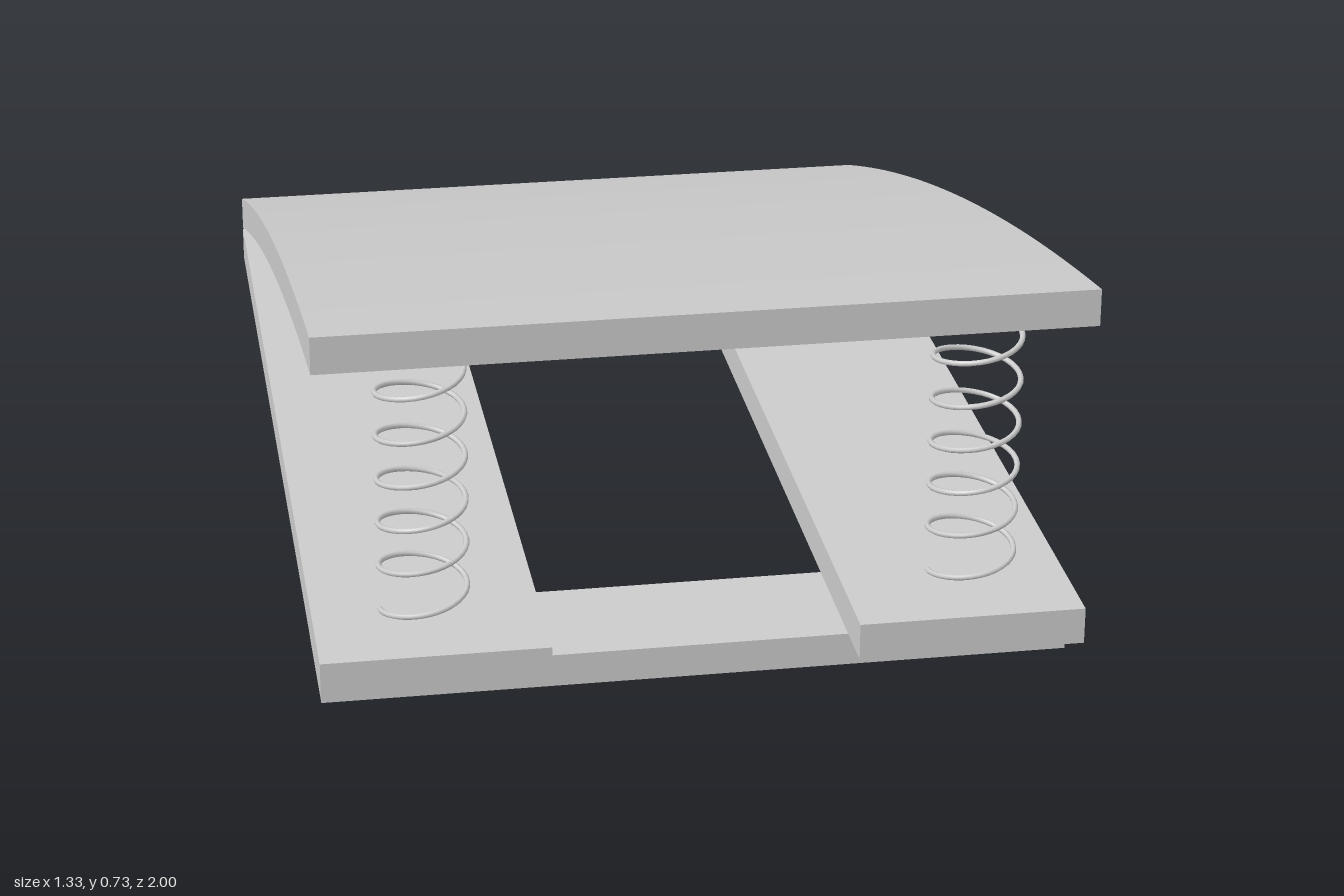
import * as THREE from 'three';

const material = new THREE.MeshStandardMaterial({ color: 0xcccccc, side: THREE.DoubleSide });

function add(parent, name, geometry) {
  const mesh = new THREE.Mesh(geometry, material);
  mesh.name = name;
  parent.add(mesh);
  return mesh;
}

// Box between two corners; open boxes have no bottom face
function openBox(x0, x1, y0, y1, z0, z1) {
  const geometry = new THREE.BoxGeometry(x1 - x0, y1 - y0, z1 - z0);
  const index = Array.from(geometry.index.array);
  index.splice(18, 6); // the -y face
  geometry.setIndex(index);
  geometry.clearGroups();
  geometry.translate((x0 + x1) / 2, (y0 + y1) / 2, (z0 + z1) / 2);
  return geometry;
}

// Board that bends along z, with upright ends
function curvedBoard(width, thickness, length) {
  const geometry = new THREE.BoxGeometry(width, thickness, length, 1, 1, 32);
  const p = geometry.attributes.position;
  for (let i = 0; i < p.count; i++) {
    const z = p.getZ(i);
    p.setY(i, p.getY(i) + 0.477 + 0.2665 * z - 0.0475 * z * z);
  }
  geometry.computeVertexNormals();
  return geometry;
}

class Helix extends THREE.Curve {
  constructor(radius, height, turns) {
    super();
    Object.assign(this, { radius, height, turns });
  }
  getPoint(t, target = new THREE.Vector3()) {
    const a = t * this.turns * Math.PI * 2;
    return target.set(-this.radius * Math.cos(a), t * this.height, this.radius * Math.sin(a));
  }
}

export function createModel() {
  const model = new THREE.Group();
  model.name = 'springboard';

  // Curved jumping deck
  add(model, 'deck', curvedBoard(1.333, 0.067, 2));

  // Base rails and the cross bar beneath them
  add(model, 'leftRail', openBox(0.267, 0.667, 0.06, 0.127, -1, 1));
  add(model, 'rightRail', openBox(-0.667, -0.27, 0.06, 0.127, -1, 1));
  add(model, 'crossBar', openBox(-0.66, 0.66, 0, 0.06, 0.663, 0.904));

  // Coil springs between rails and deck
  const coil = new THREE.TubeGeometry(new Helix(0.077, 0.494, 6), 192, 0.005, 8);
  for (const [name, x] of [['leftSpring', 0.505], ['rightSpring', -0.47]]) {
    add(model, name, coil).position.set(x, 0.127, 0.81);
  }
  return model;
}
